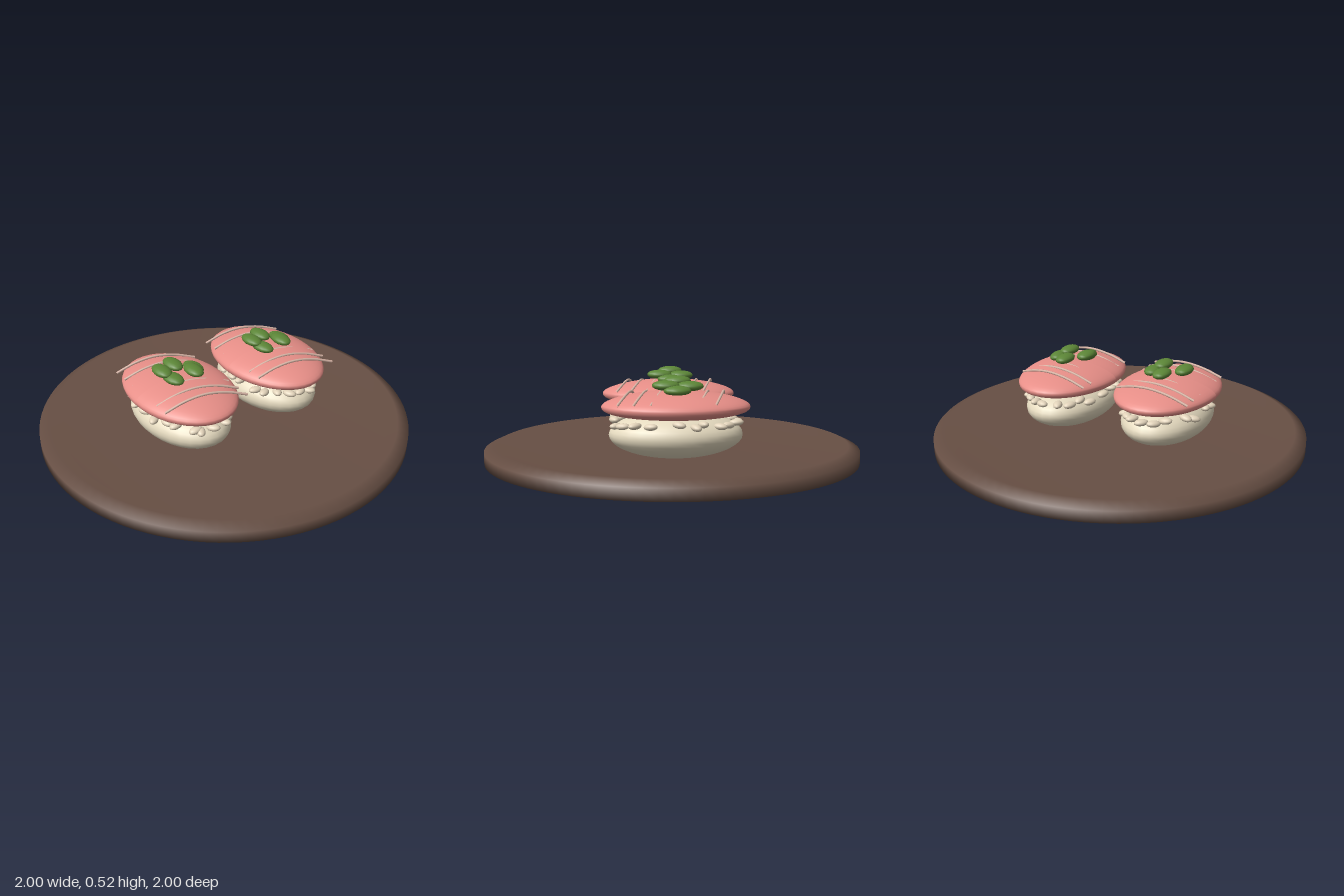
import * as THREE from 'three';

const material = (name, color) => {
  const m = new THREE.MeshStandardMaterial({ color });
  m.name = name;
  return m;
};

export function createModel() {
  const wood = material('dark wood', 0x674f44);
  const rice = material('rice', 0xe5dabf);
  const grainColor = material('rice grain', 0xe2d3ba);
  const fish = material('pink fish', 0xe88f88);
  const fat = material('fat line', 0xddb9aa);
  const leaf = material('leaf green', 0x5c8637);

  const model = new THREE.Group();
  const ball = new THREE.SphereGeometry(1, 32, 20);
  const smallBall = new THREE.SphereGeometry(1, 14, 10);

  // Fish slice: rounded rim, upper half swelling towards the middle, full underside
  const slice = new THREE.SphereGeometry(1, 40, 24);
  const p = slice.attributes.position;
  for (let i = 0; i < p.count; i++) {
    const s = p.getY(i);
    const y = s > 0 ? 0.06 * s + 0.02 * s * s : -0.062 * Math.pow(-s, 0.8);
    p.setXYZ(i, p.getX(i) * 0.262, y, p.getZ(i) * 0.378);
  }
  slice.computeVertexNormals();

  function ellipsoid(parent, name, geometry, mat, pos, radii, yaw = 0, roll = 0) {
    const mesh = new THREE.Mesh(geometry, mat);
    mesh.name = name;
    mesh.position.set(...pos);
    mesh.scale.set(...radii);
    mesh.rotation.set(0, yaw, roll);
    parent.add(mesh);
  }

  // Round serving plate: sloping underside, bevelled rim and sunken floor
  const profile = [[0, 0.003], [0.7, 0.005], [1, 0.065], [1, 0.125], [0.94, 0.152], [0.88, 0.121], [0, 0.119]]
    .map(([r, y]) => new THREE.Vector2(r, y));
  const plate = new THREE.Mesh(new THREE.LatheGeometry(profile, 96), wood);
  plate.name = 'plate';
  model.add(plate);

  // Small seeded generator for grain variation
  let seed = 7;
  const rand = () => (seed = (seed * 16807) % 2147483647) / 2147483647;

  // Curved fat line running over the fish, z is its middle
  function fatLine(z) {
    const curve = new THREE.CatmullRomCurve3([
      new THREE.Vector3(-0.215, 0.404, z - 0.03),
      new THREE.Vector3(-0.11, 0.436, z - 0.018),
      new THREE.Vector3(0, 0.449, z),
      new THREE.Vector3(0.11, 0.436, z + 0.028),
      new THREE.Vector3(0.215, 0.404, z + 0.065),
    ]);
    const mesh = new THREE.Mesh(new THREE.TubeGeometry(curve, 20, 0.0065, 6), fat);
    mesh.name = 'fatLine';
    return mesh;
  }

  // Leaf placement: x, y, z, yaw
  const leaves = [
    [-0.09, 0.495, -0.015, 0],
    [0.01, 0.477, -0.07, 0],
    [0.09, 0.463, 0, 0.05],
    [-0.065, 0.474, 0.05, 0.12],
    [0.055, 0.486, 0.055, -0.05],
  ];

  function sushiPiece(name, x) {
    const piece = new THREE.Group();
    piece.name = name;
    piece.position.x = x;

    // Rice body resting on the plate floor
    ellipsoid(piece, 'riceBody', ball, rice, [0, 0.233, 0], [0.224, 0.12, 0.341]);

    // Loose grains around the upper rice
    const count = 22;
    for (let i = 0; i < count; i++) {
      const a = (i + rand() * 0.8) / count * Math.PI * 2;
      ellipsoid(piece, 'riceGrain', smallBall, grainColor,
        [Math.cos(a) * 0.205, 0.297 + (rand() - 0.5) * 0.03, Math.sin(a) * 0.313],
        [0.037, 0.017, 0.024], rand() * Math.PI, (rand() - 0.5) * 0.3);
    }

    // Fish slice and its fat lines
    ellipsoid(piece, 'fishSlice', slice, fish, [0, 0.375, 0], [1, 1, 1]);
    for (const z of [-0.24, -0.158, -0.075, 0.075, 0.158, 0.235]) piece.add(fatLine(z));

    // Leaf garnish
    for (const [lx, ly, lz, yaw] of leaves)
      ellipsoid(piece, 'leaf', smallBall, leaf, [lx, ly, lz], [0.045, 0.025, 0.07], yaw, -0.08);

    model.add(piece);
  }

  sushiPiece('leftSushi', 0.286);
  sushiPiece('rightSushi', -0.286);
  return model;
}
